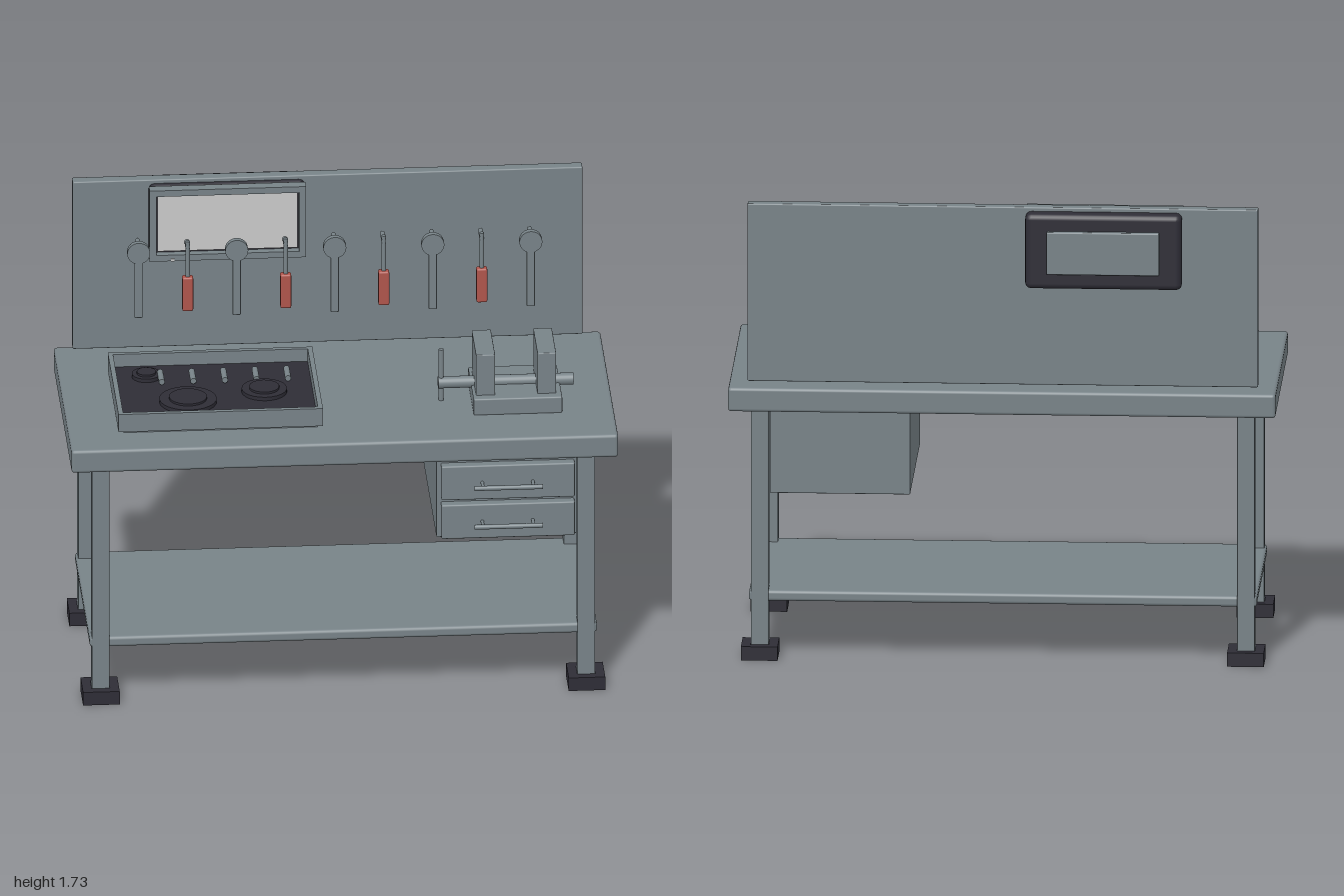
import * as THREE from 'three';
import { RoundedBoxGeometry } from 'three/addons/geometries/RoundedBoxGeometry.js';

const material = (name, color) => {
  const m = new THREE.MeshStandardMaterial({ color });
  m.name = name;
  return m;
};

export function createModel() {
  const model = new THREE.Group();
  model.name = 'workbench';
  const steel = material('steel grey', 0x78838a & 0xfffff8);
  const dark = material('charcoal', 0x2e2d36);
  const red = material('handle red', 0xb0554c);
  const glow = material('screen grey', 0xcacaca);

  const add = (name, geometry, mat, parent = model) => {
    const mesh = new THREE.Mesh(geometry, mat);
    mesh.name = name;
    parent.add(mesh);
    return mesh;
  };
  // Box given by its extents; r > 0 softens the edges
  const box = (name, mat, [x0, x1], [y0, y1], [z0, z1], r = 0, parent = model) => {
    const size = [x1 - x0, y1 - y0, z1 - z0];
    const g = r ? new RoundedBoxGeometry(...size, 2, r) : new THREE.BoxGeometry(...size);
    g.translate((x0 + x1) / 2, (y0 + y1) / 2, (z0 + z1) / 2);
    return add(name, g, mat, parent);
  };
  // Cylinder of length len along an axis, centred on (x, y, z)
  const rod = (name, mat, axis, r, len, x, y, z, parent = model) => {
    const g = new THREE.CylinderGeometry(r, r, len, 24);
    if (axis === 'x') g.rotateZ(Math.PI / 2);
    if (axis === 'z') g.rotateX(Math.PI / 2);
    g.translate(x, y, z);
    return add(name, g, mat, parent);
  };
  // Rectangular frame in the xy plane, extruded along +z
  const frame = (w, h, holeW, holeH, depth) => {
    const ring = (a, b) => [[-a, -b], [a, -b], [a, b], [-a, b]]
      .map(([x, y]) => new THREE.Vector2(x / 2, y / 2));
    const shape = new THREE.Shape(ring(w, h));
    shape.holes.push(new THREE.Path(ring(holeW, holeH).reverse()));
    return new THREE.ExtrudeGeometry(shape, { depth, bevelEnabled: false });
  };

  // Table: top, shelf, legs and hollow feet
  box('tableTop', steel, [-1, 1], [0.95, 1.04], [-0.447, 0.475], 0.012);
  box('lowerShelf', steel, [-0.928, 0.928], [0.215, 0.255], [-0.363, 0.397], 0.012);
  for (const sx of [-1, 1]) for (const z of [-0.333, 0.365]) {
    const x = sx * 0.888;
    box('leg', steel, [x - 0.032, x + 0.032], [0.02, 0.955], [z - 0.034, z + 0.034], 0.004);
    const foot = add('foot', frame(0.134, 0.134, 0.066, 0.07, 0.052), dark);
    foot.rotation.x = -Math.PI / 2;
    foot.position.set(sx * 0.888, 0, z);
  }

  // Drawer cabinet
  box('drawerCabinet', steel, [0.34, 0.853], [0.615, 0.93], [-0.33, 0.395], 0.004);
  for (const y of [0.69, 0.845]) {
    const drawer = new THREE.Group();
    drawer.name = 'drawer';
    model.add(drawer);
    box('drawerFront', steel, [0.356, 0.844], [y - 0.068, y + 0.068], [0.39, 0.43], 0.006, drawer);
    rod('drawerHandle', steel, 'x', 0.009, 0.25, 0.598, y, 0.48, drawer);
    for (const x of [0.505, 0.69]) rod('handlePost', steel, 'z', 0.006, 0.052, x, y, 0.454, drawer);
  }

  // Back board
  box('backBoard', steel, [-0.935, 0.93], [1.06, 1.73], [-0.42, -0.376], 0.005);

  // Wall monitor set through the board
  const mx = -0.372, my = 1.573;
  box('monitorHousing', dark, [-0.658, -0.086], [1.432, 1.715], [-0.468, -0.352], 0.022);
  box('monitorBackPanel', steel, [-0.577, -0.165], [1.493, 1.653], [-0.487, -0.46], 0.005);
  add('monitorBezel', frame(0.572, 0.283, 0.522, 0.235, 0.042), steel).position.set(mx, my, -0.353);
  box('screenBorder', dark, [-0.636, -0.108], [1.452, 1.694], [-0.353, -0.34]);
  box('screen', glow, [-0.627, -0.115], [1.462, 1.684], [-0.34, -0.333]);
  box('indicator', glow, [-0.58, -0.568], [1.432, 1.442], [-0.312, -0.308]);

  // Hanging tools: wrenches and screwdrivers in turn
  for (let i = 0; i < 9; i++) {
    const x = -0.7 + i * 0.1793;
    const tool = new THREE.Group();
    tool.name = i % 2 ? 'screwdriver' : 'wrench';
    model.add(tool);
    rod('hook', steel, 'z', 0.009, 0.07, x, 1.498, -0.321, tool);
    if (i % 2) {
      rod('screwdriverShaft', steel, 'y', 0.008, 0.15, x, 1.443, -0.292, tool);
      box('screwdriverHandle', red, [x - 0.02, x + 0.02], [1.243, 1.378], [-0.308, -0.276], 0.007, tool);
    } else {
      rod('wrenchHead', steel, 'z', 0.042, 0.022, x, 1.478, -0.293, tool);
      box('wrenchHandle', steel, [x - 0.015, x + 0.015], [1.218, 1.45], [-0.3, -0.286], 0.004, tool);
    }
  }

  // Equipment tray on the table
  const tray = new THREE.Group();
  tray.name = 'burnerTray';
  model.add(tray);
  const rim = add('trayRim', frame(0.748, 0.546, 0.712, 0.51, 0.07), steel, tray);
  rim.rotation.x = -Math.PI / 2;
  rim.position.set(-0.445, 1.05, 0.067);
  box('trayBase', steel, [-0.8, -0.09], [1.038, 1.062], [-0.19, 0.324], 0, tray);
  box('trayFloor', dark, [-0.802, -0.088], [1.062, 1.07], [-0.189, 0.323], 0, tray);
  for (const [x, z, r] of [[-0.55, 0.135, 0.105], [-0.266, 0.065, 0.083], [-0.686, -0.095, 0.053]]) {
    rod('burnerPlate', dark, 'y', r, 0.016, x, 1.076, z, tray);
    rod('burnerCap', dark, 'y', r * 0.66, 0.01, x, 1.087, z, tray);
  }
  for (let i = 0; i < 5; i++)
    rod('trayBar', steel, 'z', 0.011, 0.09, -0.635 + i * 0.1155, 1.083, -0.06, tray);

  // Bench vise
  const vise = new THREE.Group();
  vise.name = 'vise';
  model.add(vise);
  box('viseBase', steel, [0.486, 0.81], [1.038, 1.104], [-0.026, 0.264], 0.006, vise);
  box('fixedJaw', steel, [0.497, 0.567], [1.095, 1.265], [0.006, 0.23], 0.004, vise);
  box('movingJaw', steel, [0.722, 0.79], [1.095, 1.265], [0.006, 0.23], 0.004, vise);
  rod('viseScrew', steel, 'x', 0.022, 0.495, 0.613, 1.11, 0.119, vise);
  rod('viseHandle', steel, 'y', 0.009, 0.205, 0.377, 1.14, 0.119, vise);

  return model;
}
